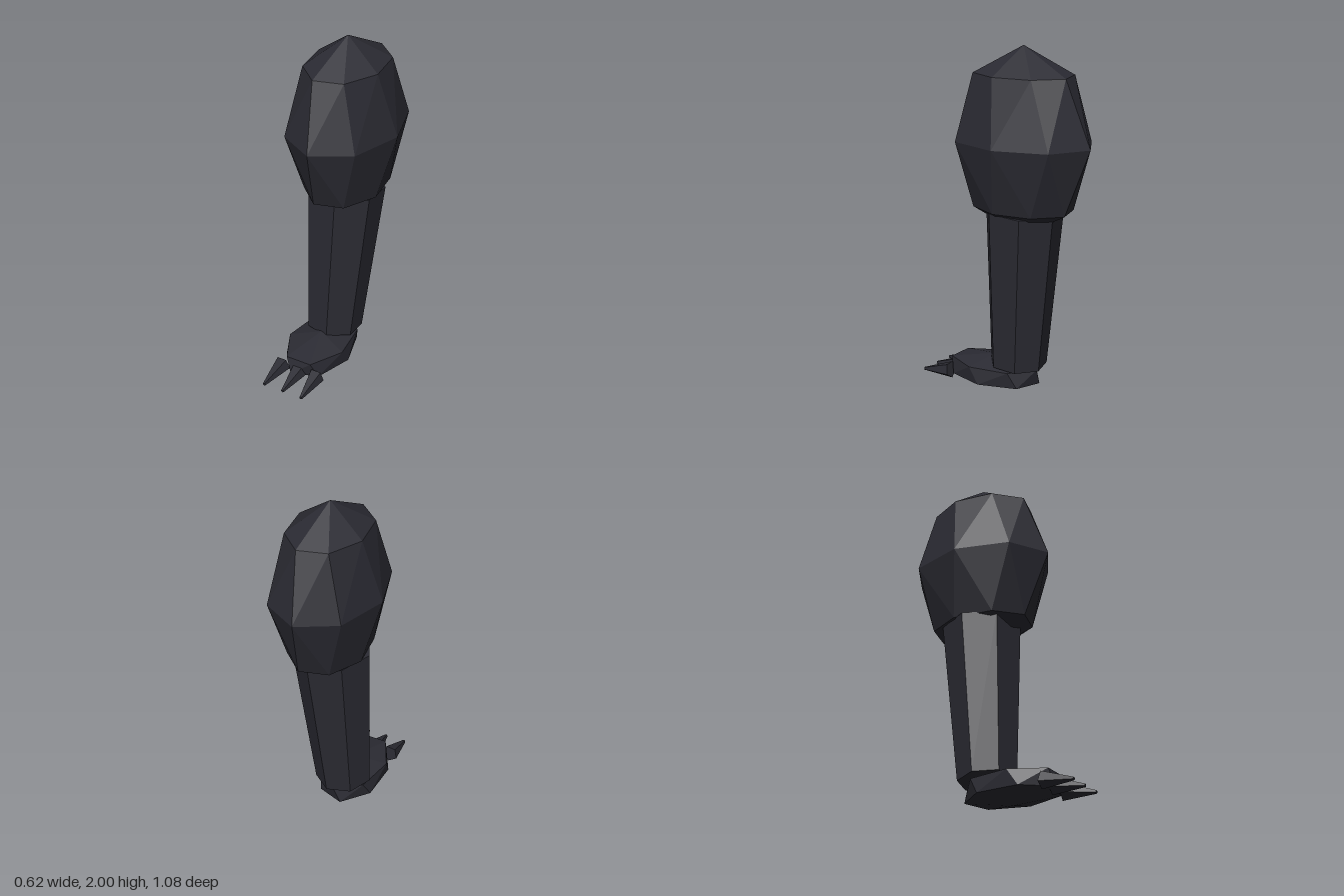
import * as THREE from 'three';
import { ConvexGeometry } from 'three/addons/geometries/ConvexGeometry.js';

const rad = THREE.MathUtils.degToRad;
const V = (x, y, z) => new THREE.Vector3(x, y, z);

// Faceted ellipsoid: rings of vertices, each ring turned by its own angle (from +z towards +x)
function facetedBlob(radii, sides, ringAngles) {
  const bands = ringAngles.length + 1;
  const points = [V(0, radii.y, 0), V(0, -radii.y, 0)];
  ringAngles.forEach((start, i) => {
    const phi = Math.PI * (i + 1) / bands;
    for (let k = 0; k < sides; k++) {
      const a = rad(start) + 2 * Math.PI * k / sides;
      points.push(V(Math.sin(a) * Math.sin(phi), Math.cos(phi), Math.cos(a) * Math.sin(phi)).multiply(radii));
    }
  });
  return new ConvexGeometry(points);
}

// Tapered prism running from one point to another
function taper(from, to, rFrom, rTo, sides, startAngle, material) {
  const axis = to.clone().sub(from);
  const geometry = new THREE.CylinderGeometry(rTo, rFrom, axis.length(), sides, 1, false, rad(startAngle));
  const mesh = new THREE.Mesh(geometry, material);
  mesh.position.copy(from).add(to).multiplyScalar(0.5);
  mesh.quaternion.setFromUnitVectors(V(0, 1, 0), axis.normalize());
  return mesh;
}

export function createModel() {
  const model = new THREE.Group();
  model.name = 'clawedLeg';
  const hide = new THREE.MeshStandardMaterial({ color: 0x2b2b33, flatShading: true });
  hide.name = 'charcoal';

  // Thigh: large ellipsoid with slightly twisted rings
  const thigh = new THREE.Mesh(facetedBlob(V(0.31, 0.53, 0.43), 8, [-11.25, 0, -11.25]), hide);
  thigh.name = 'thigh';
  thigh.position.set(0, 1.47, -0.11);
  model.add(thigh);

  // Shin: seven-sided column leaning back and outwards
  const shin = taper(V(-0.05, 0.16, -0.045), V(-0.01, 1.09, -0.108), 0.165, 0.225, 7, 14, hide);
  shin.name = 'shin';
  model.add(shin);

  // Foot: flattened blob
  const foot = new THREE.Mesh(facetedBlob(V(0.21, 0.093, 0.33), 7, [180, 192.86]), hide);
  foot.name = 'foot';
  foot.position.set(-0.045, 0.093, 0.11);
  model.add(foot);

  // Three claws, splayed a little
  const claws = new THREE.Group();
  claws.name = 'claws';
  for (const side of [-1, 0, 1]) {
    const claw = taper(V(-0.047 + side * 0.113, 0.065, 0.355), V(-0.047 + side * 0.123, 0.035, 0.54), 0.05, 0.01, 5, 0, hide);
    claw.name = 'claw';
    claws.add(claw);
  }
  model.add(claws);
  return model;
}
